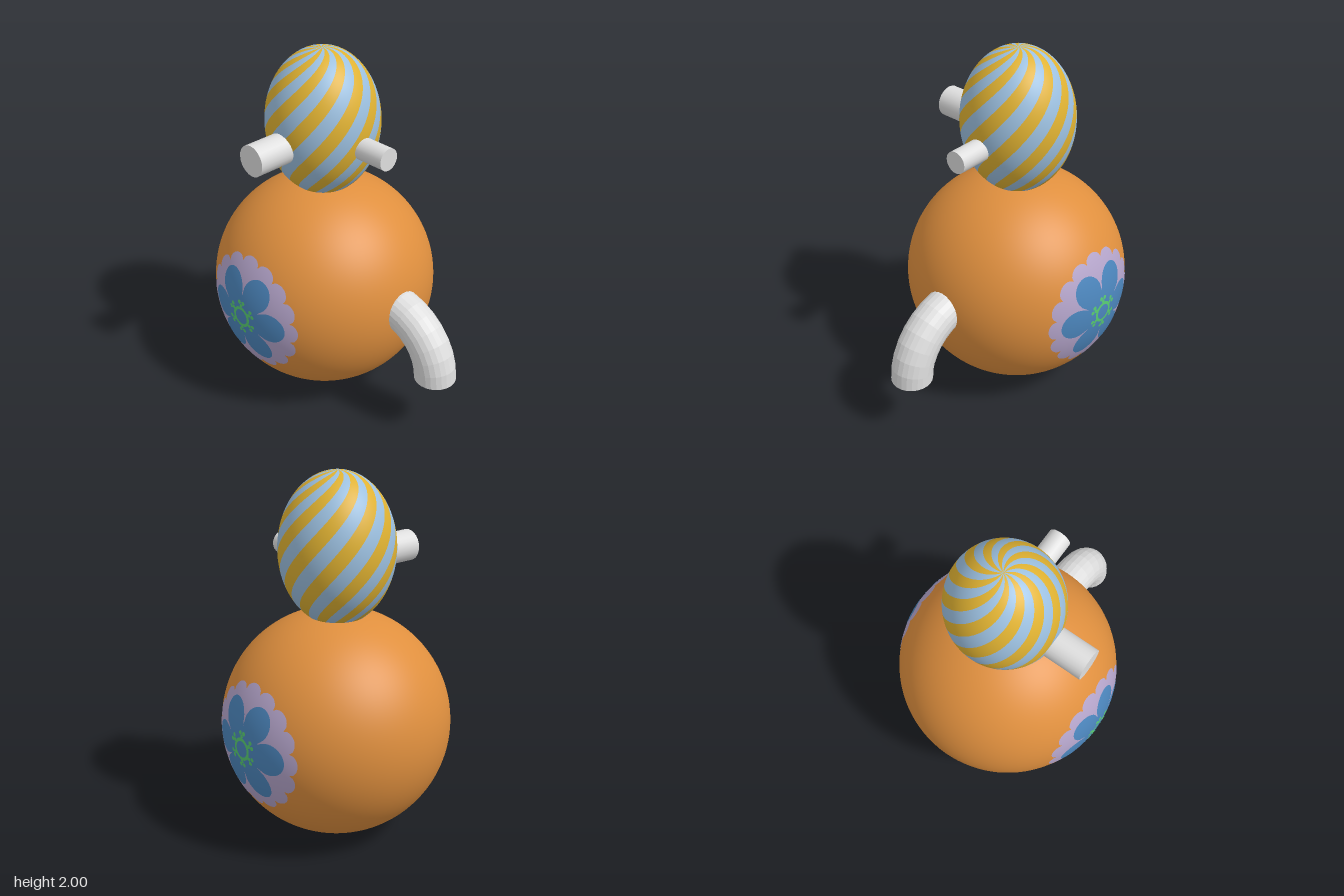
import * as THREE from 'three';
import { mergeGeometries } from 'three/addons/utils/BufferGeometryUtils.js';

const mat = (name, color) => {
  const m = new THREE.MeshStandardMaterial({ color });
  m.name = name;
  return m;
};

const CX = -0.175, BODY_Y = 0.627, BODY_R = 0.6245;

// Patch lying on the front of the body sphere, between an inner and an outer outline
function patch(cx, cy, inner, outer, lift, rings, segs) {
  const pos = [], nor = [], index = [], R = BODY_R + lift;
  for (let i = 0; i <= rings; i++) {
    for (let j = 0; j <= segs; j++) {
      const a = (j / segs) * Math.PI * 2;
      const r = inner + (outer(a) - inner) * (i / rings);
      const x = cx + r * Math.cos(a), y = cy + r * Math.sin(a);
      const z = Math.sqrt(R * R - x * x - y * y);
      pos.push(x, y, z);
      nor.push(x / R, y / R, z / R);
      if (i < rings && j < segs) {
        const p = i * (segs + 1) + j, q = p + segs + 1;
        index.push(p, q, q + 1, p, q + 1, p + 1);
      }
    }
  }
  const g = new THREE.BufferGeometry();
  g.setAttribute('position', new THREE.Float32BufferAttribute(pos, 3));
  g.setAttribute('normal', new THREE.Float32BufferAttribute(nor, 3));
  g.setIndex(index);
  return g;
}

// One spiral stripe of the head: a sphere slice twisted about the vertical axis
function stripe(phi, width) {
  const g = new THREE.SphereGeometry(1, 6, 48, phi, width);
  const p = g.attributes.position, n = g.attributes.normal;
  const v = new THREE.Vector3(), up = new THREE.Vector3(0, 1, 0);
  for (let i = 0; i < p.count; i++) {
    v.fromBufferAttribute(p, i);
    const theta = Math.acos(THREE.MathUtils.clamp(v.y, -1, 1));
    v.applyAxisAngle(up, 1.12 * (1.25 - theta));
    p.setXYZ(i, v.x, v.y, v.z);
    n.setXYZ(i, v.x, v.y, v.z);
  }
  g.scale(0.311, 0.41, 0.311);
  return g;
}

export function createModel() {
  const model = new THREE.Group();
  const orange = mat('orange', 0xdf8f3e);
  const yellow = mat('yellow', 0xe0b232);
  const paleBlue = mat('pale blue', 0x9cc0e0);
  const lavender = mat('lavender', 0xb5a5cb);
  const blue = mat('blue', 0x4c86bd);
  const green = mat('green', 0x58cc72);
  const grey = mat('light grey', 0xdedede);

  const add = (name, geometry, material, parent = model) => {
    const m = new THREE.Mesh(geometry, material);
    m.name = name;
    parent.add(m);
    return m;
  };

  // Round body
  add('body', new THREE.SphereGeometry(BODY_R, 96, 64), orange).position.set(CX, BODY_Y, 0);

  // Egg-shaped head with alternating spiral stripes
  const head = new THREE.Group();
  head.name = 'head';
  head.position.set(CX, 1.59, 0);
  model.add(head);
  const step = Math.PI / 10;
  for (let k = 0; k < 2; k++) {
    const parts = [];
    for (let i = k; i < 20; i += 2) parts.push(stripe(Math.PI / 2 + (i - 0.5) * step, step));
    add(k ? 'paleBlueStripes' : 'yellowStripes', mergeGeometries(parts), k ? paleBlue : yellow, head);
  }

  // Front nozzle and side peg
  const nose = add('frontNozzle', new THREE.CylinderGeometry(0.086, 0.086, 0.35, 24), grey);
  nose.rotation.x = Math.PI / 2;
  nose.position.set(CX, 1.527, 0.33);
  const peg = add('sidePeg', new THREE.CylinderGeometry(0.062, 0.062, 0.35, 24), grey);
  peg.rotation.z = -Math.PI / 2;
  peg.position.set(0.13, 1.527, 0);

  // Bent spout, faceted along its length, closed at the lower end
  const spout = new THREE.Group();
  spout.name = 'spout';
  spout.position.set(0.36, 0.345, 0);
  model.add(spout);
  const bend = new THREE.TorusGeometry(0.321, 0.114, 24, 8, Math.PI / 2).toNonIndexed();
  bend.computeVertexNormals();
  add('spoutBend', bend, grey, spout);
  const end = add('spoutEnd', new THREE.CircleGeometry(0.114, 24), grey, spout);
  end.rotation.x = Math.PI / 2;
  end.position.x = 0.321;

  // Flower painted on the front and the back
  const scallop = a => 0.305 + 0.036 * Math.sqrt(Math.abs(Math.cos(8 * a)));
  const petals = a => 0.13 + 0.148 * Math.sqrt(Math.abs(Math.cos(3 * a)));
  const centre = [patch(0, 0, 0.045, () => 0.062, 0.006, 1, 36)];
  const dot = (r, a, size) =>
    centre.push(patch(r * Math.cos(a), r * Math.sin(a), 0, () => size, 0.006, 1, 10));
  for (let i = 0; i < 6; i++) {
    const a = Math.PI / 6 + i * Math.PI / 3;
    dot(0.07, a, 0.011);
    dot(0.09, a - 0.16, 0.012);
    dot(0.09, a + 0.16, 0.012);
  }
  const layers = [
    ['outerPetals', patch(0, 0, 0, scallop, 0.002, 10, 192), lavender],
    ['innerPetals', patch(0, 0, 0, petals, 0.004, 10, 144), blue],
    ['flowerCentre', mergeGeometries(centre), green],
  ];
  for (const back of [false, true]) {
    const flower = new THREE.Group();
    flower.name = back ? 'backFlower' : 'frontFlower';
    flower.position.set(CX, BODY_Y + 0.008, 0);
    flower.rotation.y = back ? Math.PI : 0;
    flower.position.y = BODY_Y;
    for (const [name, geometry, material] of layers) add(name, geometry, material, flower);
    model.add(flower);
  }
  return model;
}
